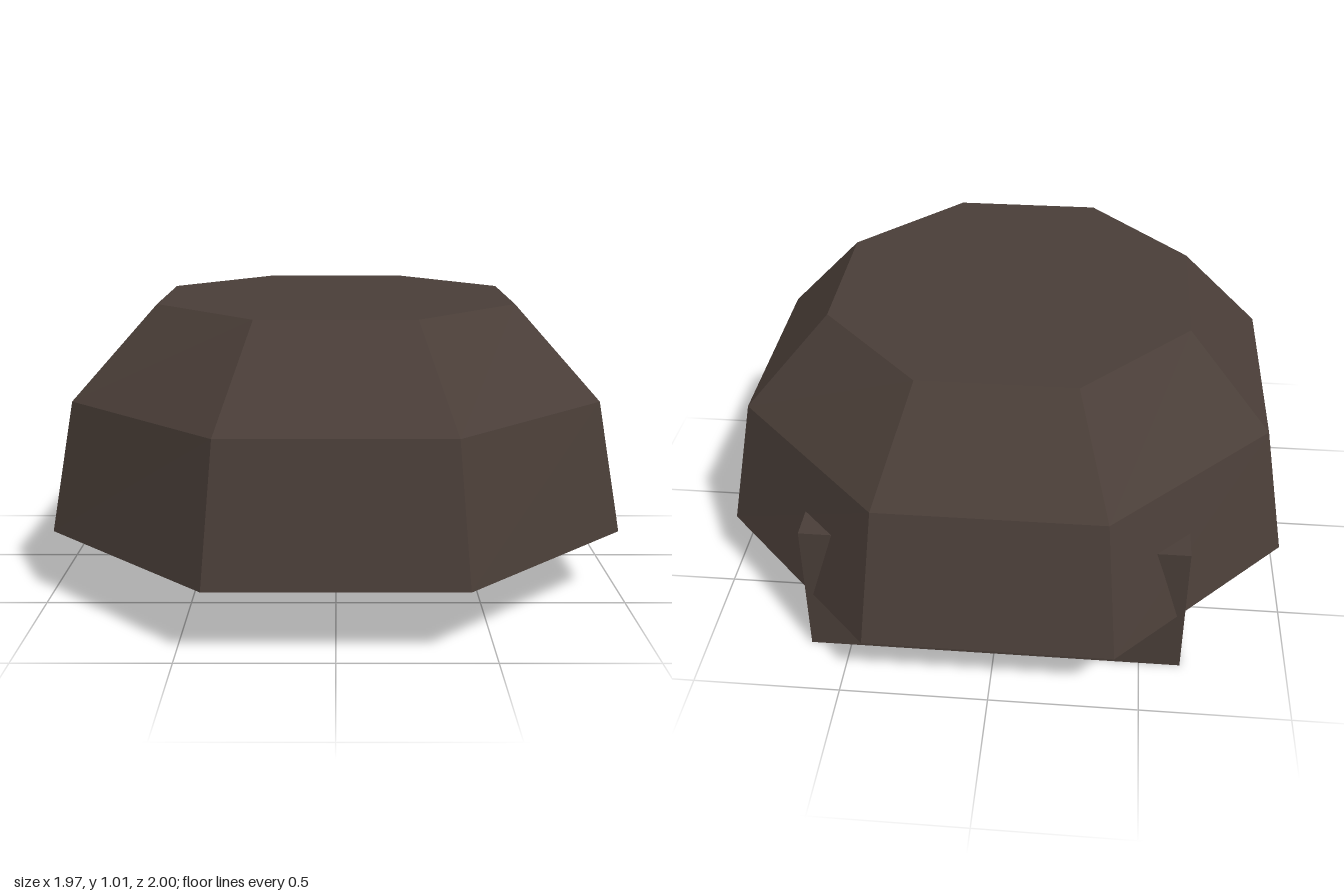
import * as THREE from 'three';

// Octagonal cross-sections, bottom to top: height, half width, half depth,
// half lengths of the flats along x and z, and z offset
const rings = [
  { y: 0.23, w: 0.985, d: 1.0, fx: 0.41, fz: 0.41, cz: 0 },
  { y: 0.69, w: 0.9, d: 0.912, fx: 0.372, fz: 0.377, cz: 0.022 },
  { y: 1.01, w: 0.615, d: 0.645, fx: 0.26, fz: 0.267, cz: 0.025 },
];

// Corners run from +x towards +z
function ringPoints({ y, w, d, fx, fz, cz }) {
  return [
    [w, -fz], [w, fz], [fx, d], [-fx, d],
    [-w, fz], [-w, -fz], [-fx, -d], [fx, -d],
  ].map(([x, z]) => new THREE.Vector3(x, y, z + cz));
}

function domeGeometry() {
  const loops = rings.map(ringPoints);
  const points = [];
  // Sloping side panels
  for (let r = 0; r < loops.length - 1; r++) {
    for (let i = 0; i < 8; i++) {
      const j = (i + 1) % 8;
      const [a, b] = [loops[r][i], loops[r][j]];
      const [c, d] = [loops[r + 1][i], loops[r + 1][j]];
      points.push(a, c, b, b, c, d);
    }
  }
  // Flat underside and flat top
  const bottom = loops[0];
  const top = loops[loops.length - 1];
  for (let i = 1; i < 7; i++) {
    points.push(bottom[0], bottom[i], bottom[i + 1]);
    points.push(top[0], top[i + 1], top[i]);
  }
  const geometry = new THREE.BufferGeometry().setFromPoints(points);
  geometry.computeVertexNormals();
  return geometry;
}

export function createModel() {
  const model = new THREE.Group();
  const darkBrown = new THREE.MeshStandardMaterial({ color: 0x4a3e38 });
  darkBrown.name = 'darkBrown';
  darkBrown.flatShading = true;

  // Faceted dome
  const dome = new THREE.Mesh(domeGeometry(), darkBrown);
  dome.name = 'dome';
  model.add(dome);

  // Crossbar under the back, its ends breaking through the dome's sides
  const crossbar = new THREE.Mesh(new THREE.BoxGeometry(1.28, 0.5, 0.38), darkBrown);
  crossbar.name = 'rearCrossbar';
  crossbar.position.set(0, 0.25, -0.6);
  model.add(crossbar);

  return model;
}
